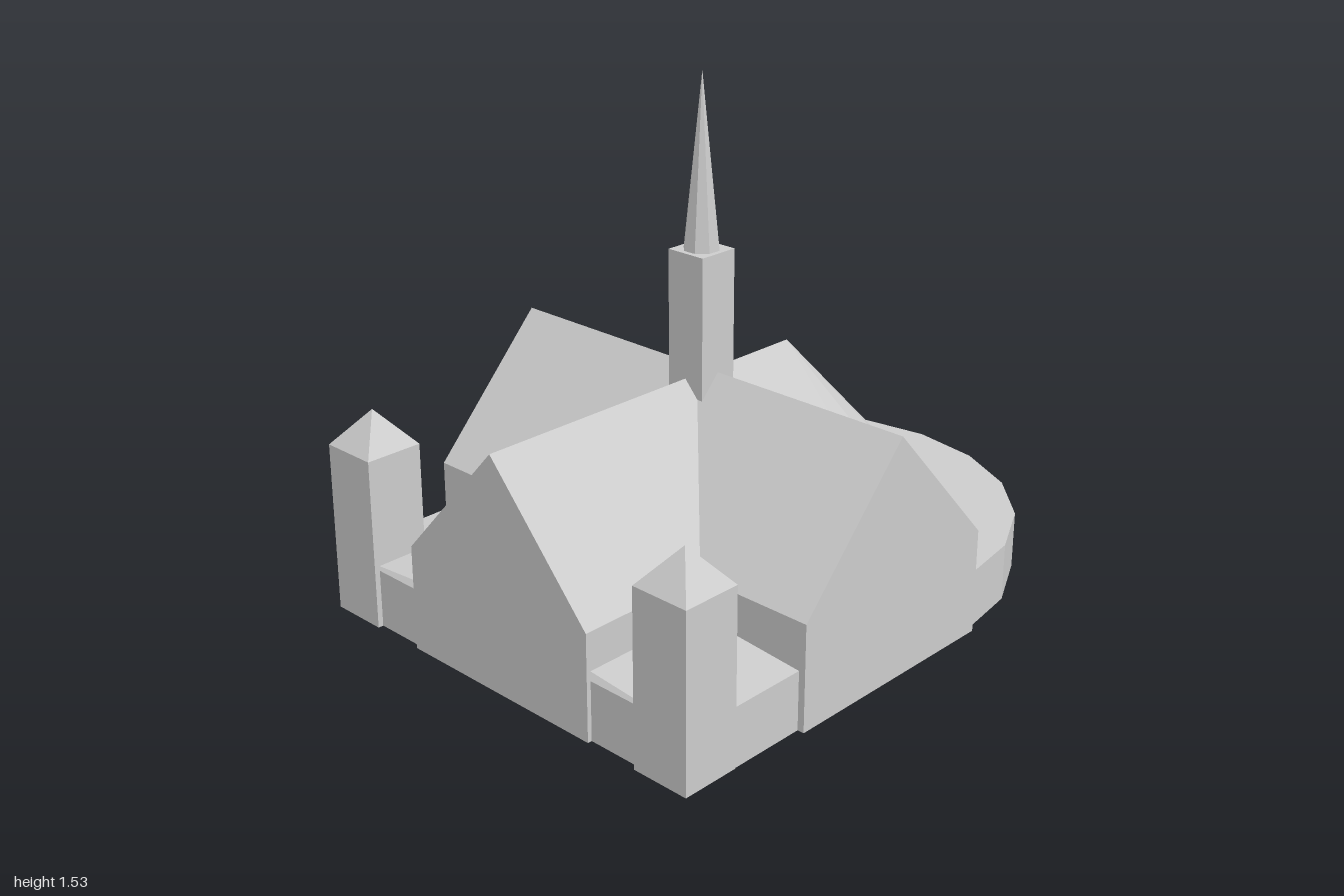
import * as THREE from 'three';

const stone = new THREE.MeshStandardMaterial({ color: 0xcccccc, flatShading: true, side: THREE.DoubleSide });
stone.name = 'stone';

function add(parent, name, geometry, x = 0, y = 0, z = 0) {
  const mesh = new THREE.Mesh(geometry, stone);
  mesh.name = name;
  mesh.position.set(x, y, z);
  parent.add(mesh);
  return mesh;
}

// Fan-triangulated flat polygons, corners counter-clockwise from outside
function panels(polygons) {
  const pos = [];
  for (const p of polygons)
    for (let i = 1; i < p.length - 1; i++) pos.push(...p[0], ...p[i], ...p[i + 1]);
  const g = new THREE.BufferGeometry();
  g.setAttribute('position', new THREE.Float32BufferAttribute(pos, 3));
  g.computeVertexNormals();
  return g;
}

// Open-bottomed gabled hall running along z
function hall(half, eave, ridge, z0, z1, closeBack) {
  const profile = [[half, 0], [half, eave], [0, ridge], [-half, eave], [-half, 0]];
  const at = (z) => profile.map(([x, y]) => [x, y, z]);
  const front = at(z1), back = at(z0);
  const faces = [front];
  if (closeBack) faces.push([...back].reverse());
  for (let i = 0; i < 4; i++) faces.push([front[i], back[i], back[i + 1], front[i + 1]]);
  return panels(faces);
}

// Square shaft or pyramid aligned with the axes
function square(topHalf, bottomHalf, height, open) {
  const k = Math.SQRT2;
  return new THREE.CylinderGeometry(topHalf * k, bottomHalf * k, height, 4, 1, open).rotateY(Math.PI / 4);
}

const halfRound = (top, bottom, h, n) =>
  new THREE.CylinderGeometry(top, bottom, h, n, 1, true, Math.PI / 2, Math.PI);

export function createModel() {
  const model = new THREE.Group();
  model.name = 'church';
  const body = new THREE.Group();
  body.name = 'churchBody';
  body.rotation.y = -0.478;
  body.position.x = 0.06;
  model.add(body);

  // Crossing halls
  add(body, 'nave', hall(0.34, 0.31, 0.685, -0.362, 0.77, false));
  add(body, 'transept', hall(0.362, 0.31, 0.703, -0.7, 0.7, true)).rotation.y = Math.PI / 2;

  // Rounded apse with half-cone roof
  add(body, 'apseWall', halfRound(0.34, 0.34, 0.31, 8), 0, 0.155, -0.362);
  add(body, 'apseRoof', halfRound(0, 0.34, 0.375, 8), 0, 0.4975, -0.362);

  // Low walkway around the apse
  add(body, 'ambulatoryWall', halfRound(0.685, 0.685, 0.172, 10), 0, 0.086, -0.362);
  add(body, 'ambulatoryRoof',
    new THREE.RingGeometry(0.335, 0.685, 10, 1, 0, Math.PI).rotateX(-Math.PI / 2), 0, 0.172, -0.362);

  // Side aisles and front corner towers, mirrored
  for (const s of [1, -1]) {
    const side = s > 0 ? 'left' : 'right';
    const o = 0.68 * s, n = 0.34 * s, f = 0.757, b = -0.382, h = 0.172, t = 0.2;
    const walls = [
      [[o, 0, f], [o, 0, b], [o, h, b], [o, h, f]],
      [[n, 0, f], [o, 0, f], [o, h, f], [n, h, f]],
      [[o, 0, b], [n, 0, b], [n, h, b], [o, h, b]],
    ];
    const roof = [[[o, h, f], [o, h, b], [n, t, b], [n, t, f]]];
    const facing = (list) => list.map((p) => (s > 0 ? p : [...p].reverse()));
    add(body, side + 'AisleWalls', panels(facing(walls)));
    add(body, side + 'AisleRoof', panels(facing(roof)));
    add(body, side + 'CornerTower', square(0.088, 0.088, 0.505, true), 0.594 * s, 0.2525, 0.685);
    add(body, side + 'CornerTowerRoof', square(0, 0.088, 0.105, true), 0.594 * s, 0.5575, 0.685);
  }

  // Crossing tower and spire
  add(body, 'crossingTower', square(0.063, 0.063, 0.5, false), 0, 0.795, 0);
  add(body, 'spire', new THREE.CylinderGeometry(0, 0.052, 0.49, 8, 1, true).rotateY(Math.PI / 8), 0, 1.29, 0);

  return model;
}
